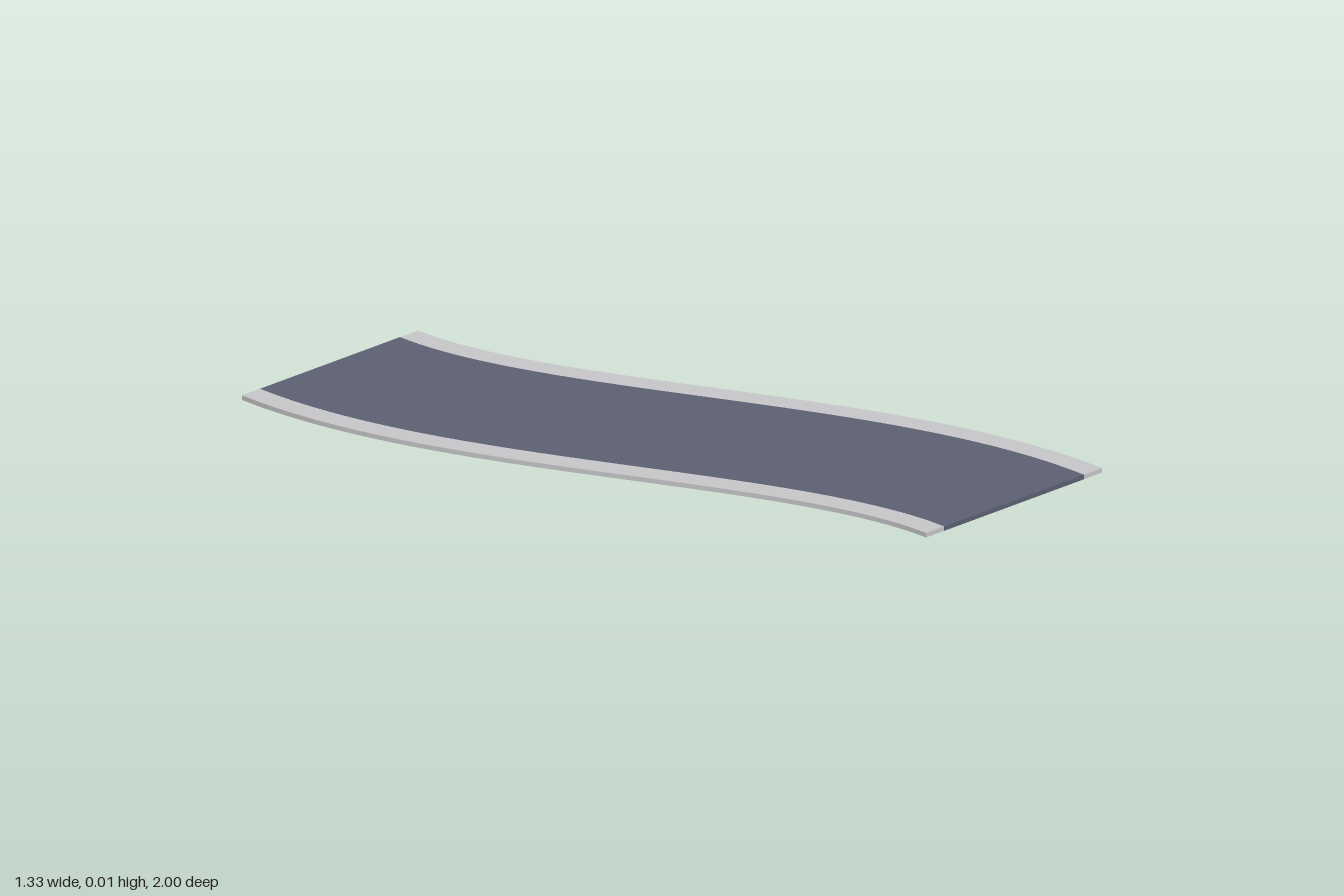
import * as THREE from 'three';
import { mergeGeometries } from 'three/addons/utils/BufferGeometryUtils.js';

const W = 1 / 3;      // half width of the whole slab
const R = 0.265;      // half width of the roadway
const H = 0.0135;     // slab thickness
const STEPS = 40;

// Point on the S-bend at t = 0..1, shifted sideways by o at height y
function bendPoint(t, o, y) {
  const x = (2 / 3) * (t * t * (3 - 2 * t) - 0.5);
  const slope = 2 * t * (1 - t);
  const len = Math.hypot(1, slope);
  return [x + o / len, y, 2 * t - 1 - (o * slope) / len];
}

// Ribbon swept along the bend between two profile points [offset, y]
function ribbon(a, b) {
  const pos = [], uv = [], index = [];
  for (let i = 0; i <= STEPS; i++) {
    const t = i / STEPS;
    pos.push(...bendPoint(t, ...a), ...bendPoint(t, ...b));
    uv.push(0, t, 1, t);
    if (i < STEPS) {
      const k = 2 * i;
      index.push(k, k + 2, k + 1, k + 1, k + 2, k + 3);
    }
  }
  const g = new THREE.BufferGeometry();
  g.setAttribute('position', new THREE.Float32BufferAttribute(pos, 3));
  g.setAttribute('uv', new THREE.Float32BufferAttribute(uv, 2));
  g.setIndex(index);
  g.computeVertexNormals();
  return g;
}

// Flat end faces at the front and back between offsets a and b
function ends(a, b) {
  const mid = (a + b) / 2;
  const front = new THREE.PlaneGeometry(b - a, H).translate(W + mid, H / 2, 1);
  const back = new THREE.PlaneGeometry(b - a, H).rotateY(Math.PI).translate(-W + mid, H / 2, -1);
  return [front, back];
}

export function createModel() {
  const group = new THREE.Group();
  const asphalt = new THREE.MeshStandardMaterial({ color: 0x5d6172 });
  asphalt.name = 'asphalt';
  const concrete = new THREE.MeshStandardMaterial({ color: 0xc9c9cb });
  concrete.name = 'concrete';

  const add = (name, parts, material) => {
    const mesh = new THREE.Mesh(mergeGeometries(parts), material);
    mesh.name = name;
    group.add(mesh);
  };

  // Dark roadway with its two end faces
  add('roadway', [ribbon([-R, H], [R, H]), ...ends(-R, R)], asphalt);

  // Pale kerbs: outer wall, top and ends on each side
  add('rightKerb', [ribbon([-W, 0], [-W, H]), ribbon([-W, H], [-R, H]), ...ends(-W, -R)], concrete);
  add('leftKerb', [ribbon([R, H], [W, H]), ribbon([W, H], [W, 0]), ...ends(R, W)], concrete);

  // Underside
  add('underside', [ribbon([W, 0], [-W, 0])], concrete);

  return group;
}
